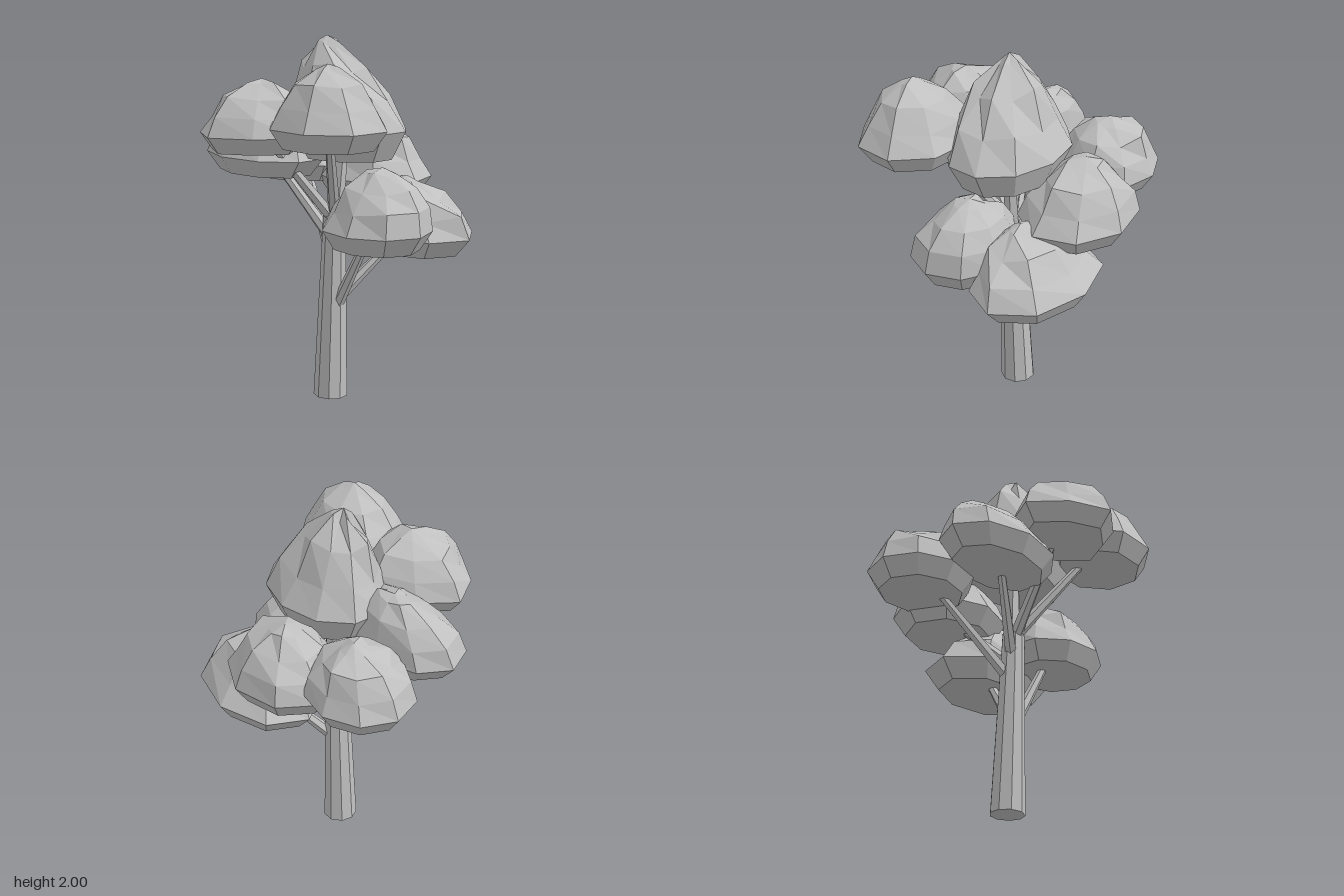
import * as THREE from 'three';

const grey = new THREE.MeshStandardMaterial({ color: 0xc0c0c0, flatShading: true });
grey.name = 'pale grey';

// Small seeded generator for the uneven crown surface
let seed = 7;
const rand = () => (seed = (seed * 16807) % 2147483647) / 2147483647;

// Crown profile: [height fraction, share of the rim radius]
const PROFILE = [[0, 0.78], [0.24, 1], [0.5, 0.86], [0.75, 0.63], [0.93, 0.27]];

// Crowns: underside height, rim centre and radii in x and z, rim corners and
// first corner angle, peak, and the height where its branch leaves the trunk.
// A higher taper makes the dome more conical, a higher sharp the rim more pointed.
const CROWNS = [
  { name: 'front', base: 1.42, centre: [-0.06, 0.41], radii: [0.34, 0.31], sides: 8, turn: 90, peak: [-0.03, 1.79, 0.38], fork: 1.0, sharp: 1.4 },
  { name: 'frontLeft', base: 1.47, centre: [0.41, 0.33], radii: [0.335, 0.29], sides: 8, turn: -20, peak: [0.42, 1.89, 0.34], fork: 1.03, taper: 1.3 },
  { name: 'top', base: 1.36, centre: [0.13, -0.06], radii: [0.385, 0.29], sides: 10, turn: 90, peak: [0.06, 2, 0], fork: 0.98, taper: 1.4 },
  { name: 'frontRight', base: 1.25, centre: [-0.28, 0.14], radii: [0.39, 0.26], sides: 9, turn: 180, peak: [-0.3, 1.65, 0.05], fork: 0.88 },
  { name: 'backRight', base: 1.16, centre: [-0.43, -0.27], radii: [0.31, 0.28], sides: 9, turn: 180, peak: [-0.42, 1.56, -0.3], fork: 0.76 },
  { name: 'back', base: 1.1, centre: [0, -0.42], radii: [0.35, 0.3], sides: 8, turn: -85, peak: [-0.03, 1.52, -0.44], fork: 0.85 },
  { name: 'left', base: 0.905, centre: [0.42, -0.01], radii: [0.315, 0.275], sides: 9, turn: 0, peak: [0.43, 1.33, -0.05], fork: 0.46 },
  { name: 'backLeft', base: 0.83, centre: [0.3, -0.39], radii: [0.42, 0.29], sides: 8, turn: -5, peak: [0.35, 1.25, -0.32], fork: 0.53, taper: 1.3 },
];

const FOOT = new THREE.Vector3(0.046, 0.004, -0.045);
const TRUNK_TOP = new THREE.Vector3(0.086, 1.04, -0.035);

// Lofted crown: flat underside, wide rim and a crumpled dome leaning to its peak
function crown({ name, base, centre: [cx, cz], radii: [rx, rz], sides, turn, peak, taper = 1, sharp = 1 }) {
  const pos = [], index = [];
  const bend = (v) => Math.sign(v) * Math.abs(v) ** sharp;
  PROFILE.forEach(([h, r], k) => {
    const rough = k < 2 ? 0 : 1;
    const ox = cx + (peak[0] - cx) * h * h * rough;
    const oz = cz + (peak[2] - cz) * h * h * rough;
    for (let i = 0; i < sides; i++) {
      const angle = THREE.MathUtils.degToRad(turn) + (i / sides) * Math.PI * 2;
      const j = rough * (rand() - 0.5);
      const s = (rough ? r ** taper : r) * (1 + j * 0.14);
      pos.push(ox + bend(Math.cos(angle)) * rx * s, base + (peak[1] - base) * (h + j * 0.08), oz + bend(Math.sin(angle)) * rz * s);
    }
  });
  const top = PROFILE.length * sides, bottom = top + 1;
  pos.push(...peak, cx, base, cz);
  for (let i = 0; i < sides; i++) {
    const next = (i + 1) % sides;
    for (let k = 0; k < PROFILE.length - 1; k++) {
      const a = k * sides + i, b = k * sides + next;
      index.push(a, a + sides, b + sides, a, b + sides, b);
    }
    index.push(top - sides + i, top, top - sides + next, bottom, i, next);
  }
  const indexed = new THREE.BufferGeometry();
  indexed.setAttribute('position', new THREE.Float32BufferAttribute(pos, 3));
  indexed.setIndex(index);
  const geometry = indexed.toNonIndexed();
  geometry.computeVertexNormals();
  const mesh = new THREE.Mesh(geometry, grey);
  mesh.name = `${name}Crown`;
  return mesh;
}

// Tapered limb between two points
function limb(name, from, to, r0, r1, sides) {
  const dir = to.clone().sub(from);
  const mesh = new THREE.Mesh(new THREE.CylinderGeometry(r1, r0, dir.length(), sides), grey);
  mesh.position.lerpVectors(from, to, 0.5);
  mesh.quaternion.setFromUnitVectors(new THREE.Vector3(0, 1, 0), dir.normalize());
  mesh.name = name;
  return mesh;
}

// Branch from inside the trunk to the underside of a crown
function branch({ name, base, centre: [cx, cz], fork }) {
  const from = new THREE.Vector3().lerpVectors(FOOT, TRUNK_TOP, fork / TRUNK_TOP.y);
  const to = new THREE.Vector3(cx, base + 0.06, cz);
  to.x += (from.x - cx) * 0.15;
  to.z += (from.z - cz) * 0.15;
  const thick = name === 'top' ? 0.05 : 0.036;
  return limb(`${name}Branch`, from, to, thick, thick * 0.6, 6);
}

export function createModel() {
  seed = 7;
  const tree = new THREE.Group();
  tree.name = 'tree';
  tree.add(limb('trunk', FOOT, TRUNK_TOP, 0.095, 0.062, 9));
  for (const c of CROWNS) tree.add(branch(c), crown(c));
  return tree;
}
